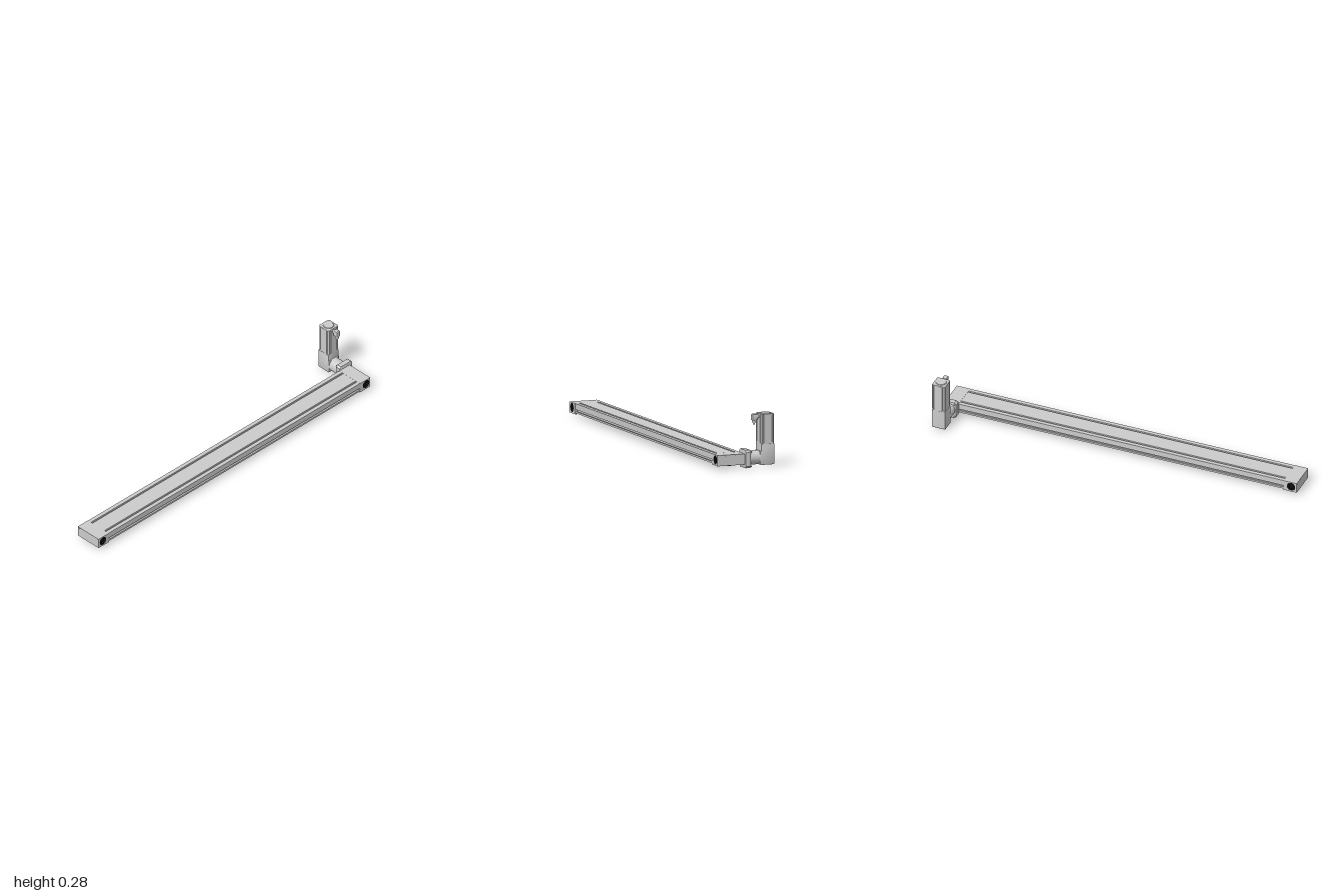
import * as THREE from 'three';
import { toCreasedNormals } from 'three/addons/utils/BufferGeometryUtils.js';

const grey = new THREE.MeshStandardMaterial({ color: 0xcccccc });
const black = new THREE.MeshStandardMaterial({ color: 0x111111 });
const blue = new THREE.MeshStandardMaterial({ color: 0x12305f });

const AXIS_Y = 0.048, DRIVE_X = 0.952, MOTOR_Z = -0.12;

function add(parent, name, geometry, x, y, z, material = grey) {
  const mesh = new THREE.Mesh(geometry, material);
  mesh.name = name;
  mesh.position.set(x, y, z);
  parent.add(mesh);
  return mesh;
}

const shapeOf = (pts) => new THREE.Shape(pts.map(([x, y]) => new THREE.Vector2(x, y)));

function extrude(shape, depth, bevel = 0) {
  const g = new THREE.ExtrudeGeometry(shape, {
    depth: depth - 2 * bevel, curveSegments: 24, bevelEnabled: bevel > 0,
    bevelSize: bevel, bevelThickness: bevel, bevelOffset: -bevel, bevelSegments: 2,
  });
  g.translate(0, 0, bevel);
  return toCreasedNormals(g, 0.6);
}

function chamferedRect(w, h, c) {
  const a = w / 2, b = h / 2;
  return shapeOf([[-a + c, -b], [a - c, -b], [a, -b + c], [a, b - c],
    [a - c, b], [-a + c, b], [-a, b - c], [-a, -b + c]]);
}

const cylinder = (r, len, axis = 'y', seg = 32, r2 = r) => {
  const g = new THREE.CylinderGeometry(r2, r, len, seg);
  if (axis === 'z') g.rotateX(Math.PI / 2);
  if (axis === 'x') g.rotateZ(-Math.PI / 2);
  return g;
};

// Half cross-section of the rail (distance from centre line, height), mirrored
function railShape() {
  const half = [
    [0.030, 0.031], [0.030, 0.024], [0.046, 0.024], [0.046, 0.031], [0.054, 0.031], [0.054, 0.024],
    [0.0765, 0.024], [0.0765, 0.034], [0.071, 0.034], [0.071, 0.031], [0.064, 0.031], [0.064, 0.047],
    [0.071, 0.047], [0.071, 0.044], [0.0765, 0.044], [0.0765, 0.075],
    [0.055, 0.075], [0.055, 0.070], [0.058, 0.070], [0.058, 0.063], [0.042, 0.063], [0.042, 0.070],
    [0.045, 0.070], [0.045, 0.075],
  ];
  return shapeOf([...half, ...half.slice().reverse().map(([z, y]) => [-z, y])]);
}

// Black splined bushing with a toothed bore
function bushingShape() {
  const s = new THREE.Shape().absarc(0, 0, 0.0235, 0, Math.PI * 2, false);
  const teeth = [];
  for (let i = 0; i < 32; i++) {
    const a = -i * Math.PI / 16, r = i % 4 < 2 ? 0.018 : 0.015;
    teeth.push(new THREE.Vector2(r * Math.cos(a), r * Math.sin(a)));
  }
  s.holes.push(new THREE.Path(teeth));
  return s;
}

function endBlock(side) {
  const g = new THREE.Group();
  g.name = side > 0 ? 'leftEndBlock' : 'rightEndBlock';
  const cx = side > 0 ? 0.943 : -0.9625;
  const boreX = side > 0 ? 0.007 : -0.006;
  // Housing with a through bore for the pulley shaft
  const s = shapeOf([[-0.0375, 0.018], [0.0375, 0.018], [0.0375, 0.075], [-0.0375, 0.075]]);
  s.holes.push(new THREE.Path().absarc(boreX, AXIS_Y, 0.0235, 0, Math.PI * 2, true));
  add(g, 'housing', extrude(s, 0.155), 0, 0, 0.005);
  const bush = extrude(bushingShape(), 0.014);
  add(g, 'frontBushing', bush, boreX, AXIS_Y, 0.1455, black);
  add(g, 'backBushing', bush, boreX, AXIS_Y, 0.0055, black);
  add(g, 'pulleyShaft', cylinder(0.023, 0.14, 'z'), boreX, AXIS_Y, 0.0825, black);
  // Shallow dome under the block
  const dome = new THREE.SphereGeometry(1, 32, 10, 0, Math.PI * 2, Math.PI / 2, Math.PI / 2);
  dome.scale(0.029, 0.007, 0.029);
  add(g, 'bottomDome', dome, 0, 0.0185, 0.084, blue);
  // Screws and pin dots on the outer face
  for (const z of [0.016, 0.153]) {
    add(g, 'endScrew', cylinder(0.004, 0.002, 'x', 16), side * 0.0372, 0.069, z);
  }
  for (const z of [0.06, 0.118]) {
    add(g, 'endPin', cylinder(0.0013, 0.001, 'x', 10), side * 0.0374, 0.069, z, black);
  }
  g.position.x = cx;
  return g;
}

function connector() {
  const g = new THREE.Group();
  g.name = 'connector';
  add(g, 'connectorNeck', cylinder(0.009, 0.014, 'z', 24), 0, 0.263, -0.078);
  add(g, 'connectorCollar', cylinder(0.0115, 0.005, 'z', 24), 0, 0.263, -0.0755);
  // Elbow body with a sloped outer shoulder
  const elbow = shapeOf([[0.045, 0.245], [0.071, 0.245], [0.073, 0.252], [0.073, 0.275],
    [0.070, 0.277], [0.050, 0.277], [0.045, 0.272]]);
  const body = extrude(elbow, 0.024, 0.002);
  body.rotateY(Math.PI / 2);
  add(g, 'elbowBody', body, -0.012, 0, 0);
  add(g, 'cableNut', cylinder(0.0115, 0.007, 'y', 12), 0, 0.2425, -0.058);
  add(g, 'cableSleeve', cylinder(0.008, 0.010, 'y', 20, 0.010), 0, 0.2345, -0.057);
  add(g, 'cableEnd', cylinder(0.006, 0.008, 'y', 20), 0, 0.227, -0.057);
  g.position.x = DRIVE_X;
  return g;
}

// Motor housing outline: grooves near the corners on all four sides
function motorShape() {
  const r = 0.0375, pts = [];
  const side = [[-0.031, -r], [-0.027, -r], [-0.026, -r + 0.004], [-0.022, -r + 0.004], [-0.021, -r],
    [0.021, -r], [0.022, -r + 0.004], [0.026, -r + 0.004], [0.027, -r], [0.031, -r]];
  for (let k = 0; k < 4; k++) {
    const c = Math.round(Math.cos(k * Math.PI / 2)), s = Math.round(Math.sin(k * Math.PI / 2));
    for (const [x, y] of side) pts.push([x * c - y * s, x * s + y * c]);
  }
  return shapeOf(pts);
}

function drive() {
  const g = new THREE.Group();
  g.name = 'driveUnit';
  // Mounting flange with corner screws
  add(g, 'mountingFlange', extrude(chamferedRect(0.092, 0.095, 0.010), 0.028, 0.001),
    DRIVE_X + 0.002, 0.0475, -0.021);
  for (const sx of [-1, 1]) for (const sy of [-1, 1]) {
    add(g, 'flangeScrew', cylinder(0.004, 0.006, 'z', 16), DRIVE_X + 0.002 + sx * 0.037, 0.0475 + sy * 0.038, -0.024);
  }
  // Round gearbox and right-angle housing
  add(g, 'gearboxBarrel', cylinder(0.037, 0.062, 'z', 48), DRIVE_X, 0.049, -0.05);
  const angle = shapeOf([[0.079, 0.014], [0.081, 0.012], [0.154, 0.012], [0.157, 0.015],
    [0.157, 0.121], [0.084, 0.121], [0.084, 0.084], [0.079, 0.082]]);
  const angleGeo = extrude(angle, 0.075, 0.0015);
  angleGeo.rotateY(Math.PI / 2);
  add(g, 'angleHousing', angleGeo, DRIVE_X - 0.0375, 0, 0);
  // Grooved motor body, end cap and round cover
  const up = (geo) => geo.rotateX(-Math.PI / 2);
  add(g, 'motorBase', up(extrude(chamferedRect(0.073, 0.073, 0.005), 0.008)), DRIVE_X, 0.120, MOTOR_Z);
  add(g, 'motorBody', up(extrude(motorShape(), 0.148)), DRIVE_X, 0.126, MOTOR_Z);
  add(g, 'motorCap', up(extrude(chamferedRect(0.075, 0.075, 0.0065), 0.006, 0.002)), DRIVE_X, 0.273, MOTOR_Z);
  add(g, 'motorCover', cylinder(0.029, 0.004, 'y', 40, 0.026), DRIVE_X, 0.280, MOTOR_Z);
  g.add(connector());
  return g;
}

export function createModel() {
  const model = new THREE.Group();
  model.name = 'linearAxis';
  // Slotted rail; its section is drawn in z-y and swept along x
  const rail = extrude(railShape(), 1.83);
  rail.rotateY(Math.PI / 2);
  add(model, 'rail', rail, -0.925, 0, 0.0825);
  // Belt in the channel under the rail
  add(model, 'belt', new THREE.BoxGeometry(1.83, 0.003, 0.05), -0.01, 0.029, 0.0825);
  model.add(endBlock(-1), endBlock(1), drive());
  return model;
}
